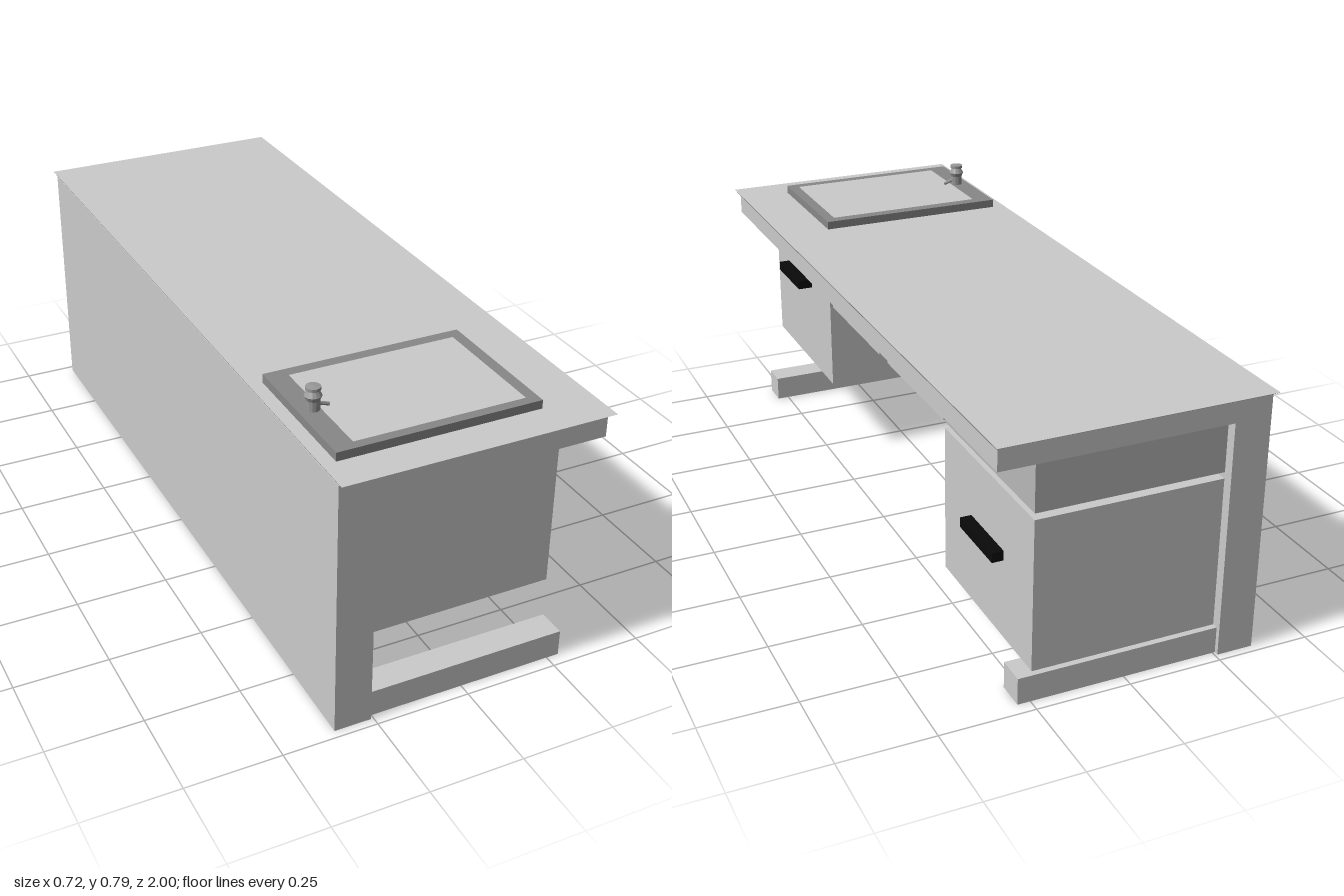
import * as THREE from 'three';

const mat = (color) => new THREE.MeshStandardMaterial({ color, flatShading: true });

export function createModel() {
  const model = new THREE.Group();
  const grey = mat(0xcccccc);
  const shaded = mat(0xb8b8b8);
  const rimGrey = mat(0x888888);
  const metal = mat(0x999999);
  const black = mat(0x0a0a0a);

  const add = (name, geometry, material = grey) => {
    const mesh = new THREE.Mesh(geometry, material);
    mesh.name = name;
    model.add(mesh);
    return mesh;
  };

  // Box given by its extents on each axis
  const box = (name, [x0, x1], [y0, y1], [z0, z1], material) => {
    const mesh = add(name, new THREE.BoxGeometry(x1 - x0, y1 - y0, z1 - z0), material);
    mesh.position.set((x0 + x1) / 2, (y0 + y1) / 2, (z0 + z1) / 2);
    return mesh;
  };

  // Back panel and the slab under the countertop
  const back = -0.257, front = 0.241;
  box('backPanel', [-0.355, back], [0, 0.636], [-0.978, 0.978]);
  box('topSlab', [-0.355, 0.348], [0.635, 0.694], [-0.978, 0.978]);

  // Countertop with edges that taper inward toward the bottom
  const top = new THREE.BoxGeometry(0.718, 0.011, 2);
  const p = top.attributes.position;
  for (let i = 0; i < p.count; i++) {
    if (p.getY(i) < 0) p.setXYZ(i, p.getX(i) * 0.982, p.getY(i), p.getZ(i) * 0.982);
  }
  top.computeVertexNormals();
  add('countertop', top).position.y = 0.6985;

  // Feet
  for (const s of [-1, 1]) {
    box('foot', [back, 0.284], [0, 0.072], s > 0 ? [0.89, 0.966] : [-0.966, -0.89]);
  }

  // Drawers and cabinets, each with a bar handle
  const units = [
    { name: 'sinkCabinet', y: [0.234, 0.635], z: [0.44, 0.946], hy: [0.489, 0.515], hz: [0.61, 0.80], hx: 0.283 },
    { name: 'drawer', y: [0.495, 0.635], z: [0.025, 0.415], hy: [0.545, 0.571], hz: [0.174, 0.272], hx: 0.265 },
    { name: 'drawer', y: [0.495, 0.635], z: [-0.425, -0.034], hy: [0.545, 0.571], hz: [-0.255, -0.156], hx: 0.265 },
    { name: 'endDrawer', y: [0.495, 0.635], z: [-0.95, -0.44], hy: [0.545, 0.571], hz: [-0.72, -0.621], hx: 0.265, material: shaded },
    { name: 'endCabinet', y: [0.072, 0.478], z: [-0.95, -0.434], hy: [0.286, 0.312], hz: [-0.79, -0.60], hx: 0.272 },
  ];
  for (const u of units) {
    box(u.name, [back, front], u.y, u.z, u.material);
    box(u.name + 'Handle', [front, u.hx], u.hy, u.hz, black);
  }

  // Sink rim: rectangular frame lying on the countertop
  const rect = (target, x0, x1, z0, z1) => target
    .moveTo(x0, -z0).lineTo(x1, -z0).lineTo(x1, -z1).lineTo(x0, -z1).closePath();
  const rim = rect(new THREE.Shape(), -0.323, 0.215, 0.51, 0.902);
  rim.holes.push(rect(new THREE.Path(), -0.268, 0.185, 0.541, 0.876));
  const rimGeometry = new THREE.ExtrudeGeometry(rim, { depth: 0.024, bevelEnabled: false });
  rimGeometry.rotateX(-Math.PI / 2);
  add('sinkRim', rimGeometry, rimGrey).position.y = 0.703;

  // Faucet body with knob
  const profile = [
    [0, 0], [0.017, 0], [0.017, 0.026], [0.022, 0.038], [0.013, 0.051],
    [0.019, 0.053], [0.019, 0.061], [0, 0.063],
  ].map(([r, y]) => new THREE.Vector2(r, y));
  add('faucetBody', new THREE.LatheGeometry(profile, 12), metal).position.set(-0.286, 0.727, 0.71);

  // Spout, tilted down over the basin
  const spout = add('faucetSpout', new THREE.CylinderGeometry(0.005, 0.005, 0.04, 8), metal);
  spout.position.set(-0.264, 0.738, 0.71);
  spout.rotation.z = Math.PI / 2 - 0.33;
  return model;
}
